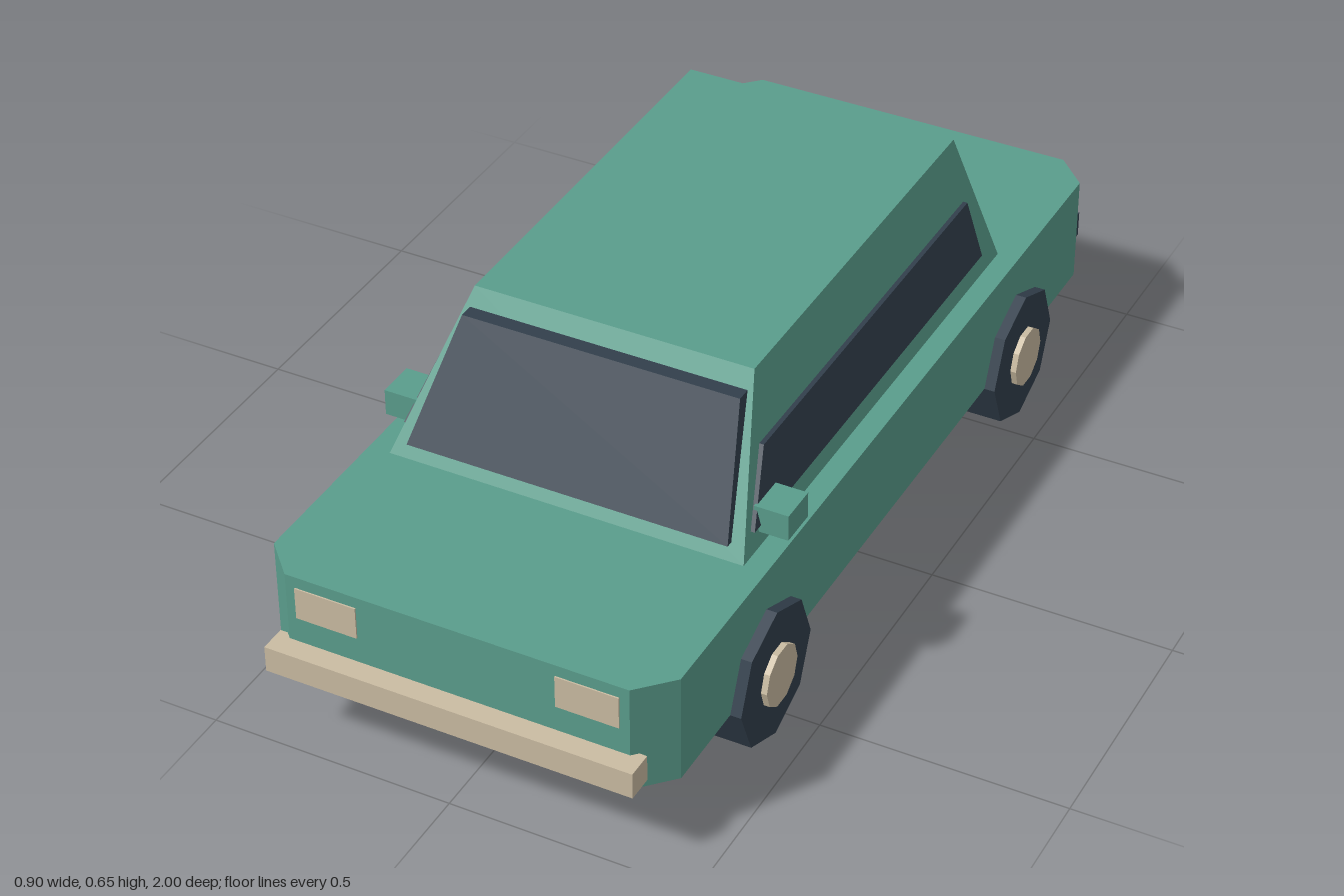
import * as THREE from 'three';
import { ConvexGeometry } from 'three/addons/geometries/ConvexGeometry.js';

function material(name, color) {
  const m = new THREE.MeshStandardMaterial({ color });
  m.name = name;
  return m;
}

export function createModel() {
  const paint = material('greenPaint', 0x5a9d8c);
  const dark = material('darkSlate', 0x323f4c);
  const tan = material('tanTrim', 0xcabca2);
  const red = material('redLamp', 0xc4554a);

  const car = new THREE.Group();
  car.name = 'car';

  function add(name, geometry, mat) {
    const mesh = new THREE.Mesh(geometry, mat);
    mesh.name = name;
    car.add(mesh);
    return mesh;
  }
  // Box given by its extents on each axis
  function box(name, mat, [x0, x1], [y0, y1], [z0, z1]) {
    const g = new THREE.BoxGeometry(Math.abs(x1 - x0), y1 - y0, z1 - z0);
    g.translate((x0 + x1) / 2, (y0 + y1) / 2, (z0 + z1) / 2);
    return add(name, g, mat);
  }
  // Flat-faced solid around a few corners
  function hull(name, mat, corners) {
    return add(name, new ConvexGeometry(corners.map((c) => new THREE.Vector3(...c))), mat);
  }

  // Lower body: chamfered plan extruded upward
  const plan = new THREE.Shape([
    [0.35, 0.957], [-0.35, 0.957], [-0.415, 0.89], [-0.415, -0.89],
    [-0.35, -0.957], [0.35, -0.957], [0.415, -0.89], [0.415, 0.89],
  ].map(([x, y]) => new THREE.Vector2(x, y)));
  const body = new THREE.ExtrudeGeometry(plan, { depth: 0.227, bevelEnabled: false });
  body.rotateX(-Math.PI / 2).translate(0, 0.143, 0);
  add('body', body, paint);

  box('underbody', dark, [-0.36, 0.36], [0.105, 0.146], [-0.88, 0.88]);

  // Tapered cabin
  const cabin = [];
  for (const s of [-1, 1]) {
    cabin.push([s * 0.37, 0.37, 0.56], [s * 0.37, 0.37, -0.572],
      [s * 0.29, 0.653, 0.362], [s * 0.29, 0.653, -0.508]);
  }
  hull('cabin', paint, cabin);

  // Windshield, standing slightly proud and seated in the cabin front
  const windshield = [];
  for (const s of [-1, 1]) {
    windshield.push([s * 0.335, 0.398, 0.555], [s * 0.288, 0.62, 0.415],
      [s * 0.335, 0.398, 0.535], [s * 0.288, 0.62, 0.38]);
  }
  hull('windshield', dark, windshield);

  // Bumpers
  box('frontBumper', tan, [-0.377, 0.377], [0.167, 0.222], [0.945, 1]);
  box('rearBumper', dark, [-0.377, 0.377], [0.167, 0.222], [-1, -0.945]);

  for (const [side, s] of [['left', 1], ['right', -1]]) {
    // Side window plate following the cabin slope
    const outline = [[0.367, 0.41, 0.51], [0.367, 0.41, -0.497],
      [0.334, 0.53, 0.41], [0.334, 0.53, -0.488]];
    hull(side + 'SideWindow', dark, outline.flatMap(([x, y, z]) =>
      [[s * x, y, z], [s * (x - 0.0095), y, z]]));

    box(side + 'Mirror', paint, [s * 0.352, s * 0.422], [0.394, 0.449], [0.405, 0.485]);
    box(side + 'Headlight', tan, [s * 0.203, s * 0.33], [0.278, 0.346], [0.953, 0.96]);
    box(side + 'Taillight', red, [s * 0.203, s * 0.325], [0.258, 0.328], [-0.96, -0.953]);

    // Octagonal wheels with raised hubs
    for (const [end, z] of [['Front', 0.557], ['Rear', -0.571]]) {
      const disc = (name, mat, r, sides, x0, x1) => {
        const g = new THREE.CylinderGeometry(r, r, x1 - x0, sides).toNonIndexed();
        g.rotateZ(Math.PI / 2);
        g.computeVertexNormals();
        add(side + end + name, g, mat).position.set(s * (x0 + x1) / 2, 0.1425, z);
      };
      disc('Tire', dark, 0.1425, 8, 0.343, 0.437);
      disc('Hub', tan, 0.063, 10, 0.42, 0.449);
    }
  }
  return car;
}
